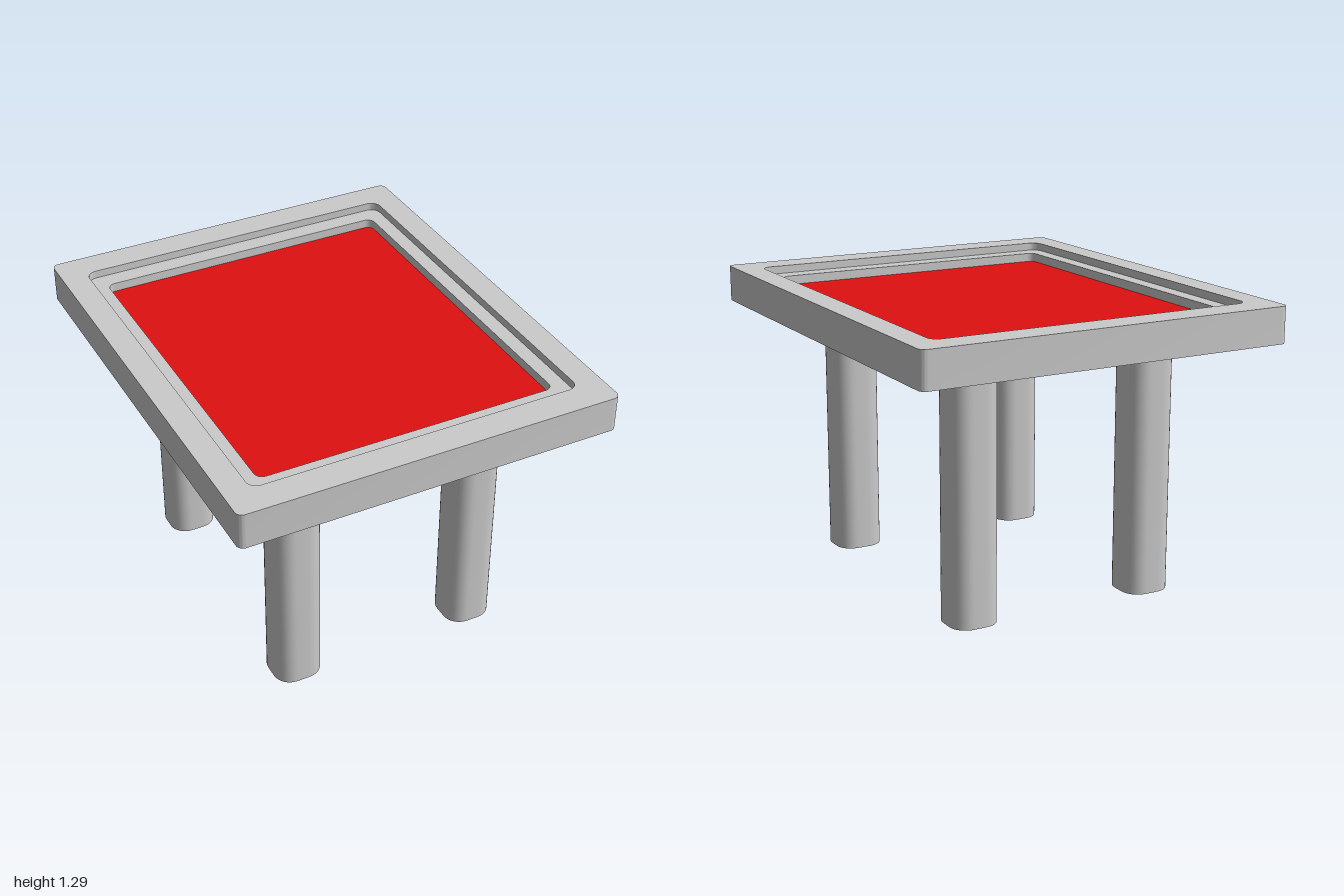
import * as THREE from 'three';
import { toCreasedNormals } from 'three/addons/utils/BufferGeometryUtils.js';

const TOP = 1.29, UNDER = 1.13, LEDGE = 1.255, PANEL = 1.215;

// Outline of a rounded rectangle, given half width, half depth and corner radius
function outline(w, d, r, steps = 8) {
  const points = [];
  const signs = [[1, 1], [-1, 1], [-1, -1], [1, -1]];
  signs.forEach(([sx, sz], q) => {
    for (let i = 0; i <= steps; i++) {
      const a = (q + i / steps) * Math.PI / 2;
      points.push(new THREE.Vector2(sx * (w - r) + r * Math.cos(a), sz * (d - r) + r * Math.sin(a)));
    }
  });
  return points;
}

// Skin joining a series of rounded rectangles [w, d, r, y]
function loft(sections) {
  const position = [], index = [];
  const rings = sections.map(([w, d, r]) => outline(w, d, r));
  const n = rings[0].length;
  rings.forEach((ring, s) => ring.forEach(p => position.push(p.x, sections[s][3], p.y)));
  for (let s = 0; s < rings.length - 1; s++) {
    for (let i = 0; i < n; i++) {
      const a = s * n + i, b = s * n + (i + 1) % n;
      index.push(a, a + n, b, b, a + n, b + n);
    }
  }
  const geometry = new THREE.BufferGeometry();
  geometry.setAttribute('position', new THREE.Float32BufferAttribute(position, 3));
  geometry.setIndex(index);
  return toCreasedNormals(geometry, 0.6);
}

// Flat rounded rectangle facing up or down
function sheet(w, d, r, y, up) {
  const geometry = new THREE.ShapeGeometry(new THREE.Shape(outline(w, d, r)));
  return geometry.rotateX(up ? -Math.PI / 2 : Math.PI / 2).translate(0, y, 0);
}

export function createModel() {
  const group = new THREE.Group();
  const grey = new THREE.MeshStandardMaterial({ color: 0xcccccc });
  const red = new THREE.MeshStandardMaterial({ color: 0xe01010 });
  const add = (name, geometry, material = grey) => {
    const mesh = new THREE.Mesh(geometry, material);
    mesh.name = name;
    group.add(mesh);
    return mesh;
  };

  // Table frame: outer wall, rim, then two steps down to the panel
  const outer = [0.845, 1, 0.03], opening = [0.732, 0.866, 0.045], inset = [0.665, 0.785, 0.035];
  add('tableFrame', loft([
    [...outer, UNDER], [...outer, TOP],
    [...opening, TOP], [...opening, LEDGE],
    [...inset, LEDGE], [...inset, PANEL],
  ]));
  add('underside', sheet(...outer, UNDER, false));
  add('panel', sheet(...inset, PANEL, true), red);

  // Four rounded square legs
  const legGeometry = toCreasedNormals(
    new THREE.ExtrudeGeometry(new THREE.Shape(outline(0.107, 0.105, 0.077)), { depth: UNDER, bevelEnabled: false })
      .rotateX(-Math.PI / 2), 0.6);
  for (const [side, x] of [['Left', 0.423], ['Right', -0.425]]) {
    for (const [end, z] of [['front', 0.575], ['back', -0.571]]) {
      add(`${end}${side}Leg`, legGeometry).position.set(x, 0, z);
    }
  }
  return group;
}
